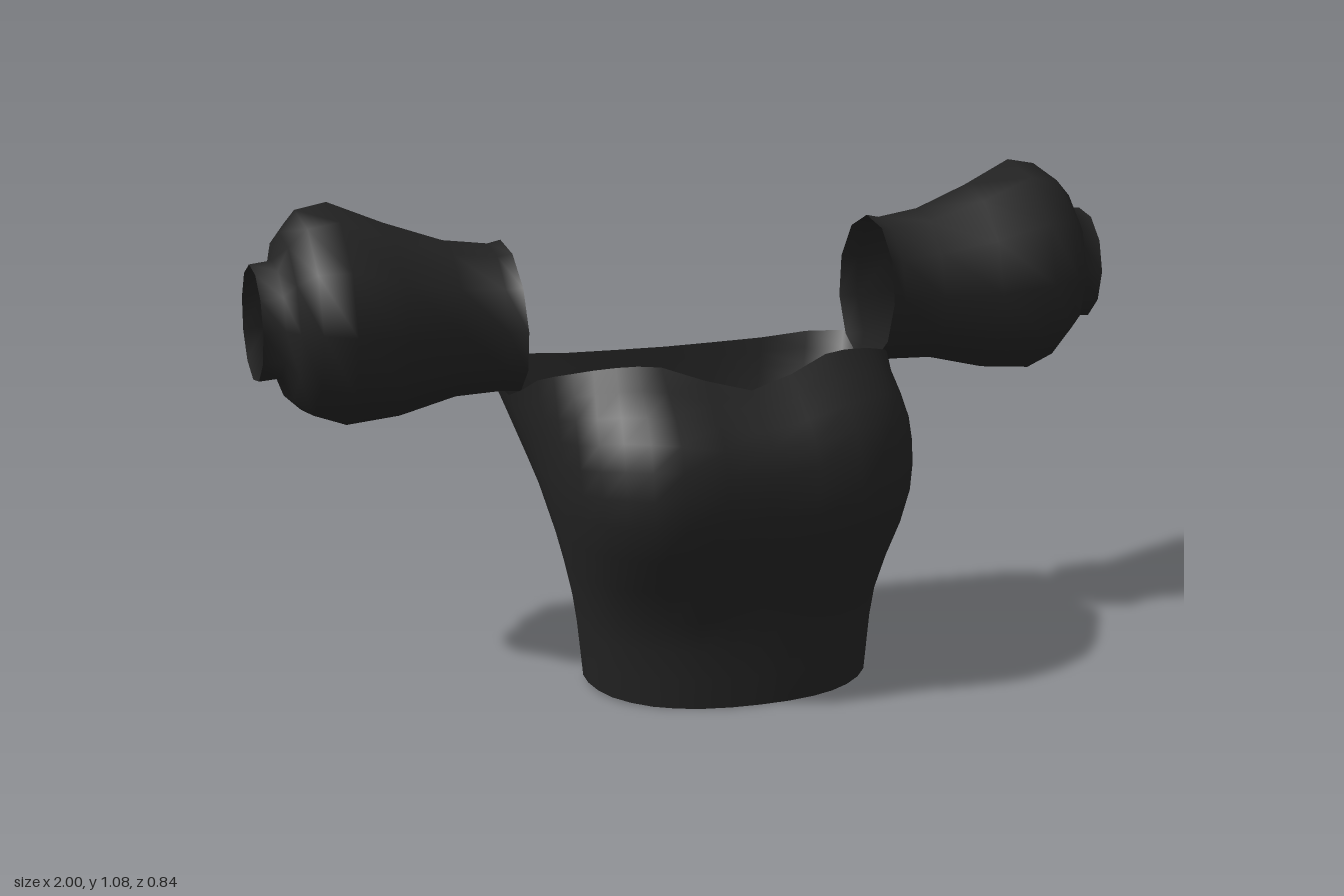
import * as THREE from 'three';

// Skin a list of closed rings (arrays of Vector3) with smooth normals
function loft(rings, material, name) {
  const n = rings[0].length, positions = [], index = [];
  for (const ring of rings) for (const p of ring) positions.push(p.x, p.y, p.z);
  for (let r = 0; r < rings.length - 1; r++) {
    for (let i = 0; i < n; i++) {
      const a = r * n + i, b = r * n + (i + 1) % n;
      index.push(a, b, b + n, a, b + n, a + n);
    }
  }
  const geometry = new THREE.BufferGeometry();
  geometry.setAttribute('position', new THREE.Float32BufferAttribute(positions, 3));
  geometry.setIndex(index);
  geometry.computeVertexNormals();
  const mesh = new THREE.Mesh(geometry, material);
  mesh.name = name;
  return mesh;
}

// Bodice seams from hem to top edge, centre front round the left side to centre back
const seams = [
  [[0, 0, 0.34], [0, 0.2, 0.343], [0, 0.44, 0.41], [0, 0.59, 0.395], [0, 0.70, 0.275]],
  [[0.13, 0, 0.325], [0.14, 0.2, 0.335], [0.20, 0.44, 0.422], [0.20, 0.62, 0.39], [0.19, 0.755, 0.225]],
  [[0.23, 0, 0.275], [0.25, 0.2, 0.285], [0.31, 0.44, 0.365], [0.31, 0.62, 0.33], [0.28, 0.752, 0.185]],
  [[0.30, 0.005, 0.20], [0.32, 0.2, 0.21], [0.378, 0.44, 0.27], [0.385, 0.6, 0.24], [0.36, 0.73, 0.12]],
  [[0.325, 0.01, 0.10], [0.347, 0.2, 0.09], [0.395, 0.44, 0.08], [0.407, 0.58, 0.075], [0.415, 0.70, 0.035]],
  [[0.305, 0.01, 0], [0.325, 0.2, -0.01], [0.39, 0.44, -0.05], [0.42, 0.55, -0.065], [0.443, 0.637, -0.10]],
  [[0.24, 0.01, -0.075], [0.26, 0.2, -0.11], [0.35, 0.44, -0.18], [0.40, 0.57, -0.225], [0.435, 0.68, -0.285]],
  [[0.13, 0.01, -0.115], [0.14, 0.2, -0.155], [0.19, 0.44, -0.25], [0.22, 0.57, -0.288], [0.24, 0.67, -0.315]],
  [[0, 0.01, -0.125], [0, 0.2, -0.167], [0, 0.44, -0.26], [0, 0.57, -0.298], [0, 0.665, -0.32]],
];

function makeBodice(material) {
  const left = seams.map(s => new THREE.CatmullRomCurve3(s.map(p => new THREE.Vector3(...p))));
  const rings = [], rows = 12, sides = 32;
  for (let r = 0; r <= rows; r++) {
    const half = left.map(c => c.getPoint(r / rows));
    const mirrored = half.slice(1, -1).reverse().map(p => new THREE.Vector3(-p.x, p.y, p.z));
    const loop = new THREE.CatmullRomCurve3([...half, ...mirrored], true);
    rings.push(Array.from({ length: sides }, (_, i) => loop.getPoint(i / sides)));
  }
  return loft(rings, material, 'bodice');
}

// Sleeve rings from shoulder to cuff: x, centre y, centre z, radius y, radius z
const sleeveRings = [
  [0.432, 0.81, -0.135, 0.172, 0.172],
  [0.47, 0.807, -0.14, 0.168, 0.153],
  [0.57, 0.81, -0.15, 0.177, 0.162],
  [0.70, 0.815, -0.163, 0.217, 0.21],
  [0.82, 0.833, -0.18, 0.249, 0.25],
  [0.89, 0.838, -0.19, 0.229, 0.237],
  [0.93, 0.835, -0.185, 0.187, 0.187],
  [0.95, 0.83, -0.18, 0.132, 0.12],
  [1.0, 0.826, -0.178, 0.131, 0.117],
];

function makeSleeve(side, material) {
  const n = 11;
  const rings = sleeveRings.map(([x, cy, cz, ry, rz], r) =>
    Array.from({ length: n }, (_, i) => {
      const a = -side * i / n * Math.PI * 2;
      // the shoulder opening leans slightly inward at the underarm
      const lean = r === 0 ? 0.008 * Math.sin(a) : 0;
      return new THREE.Vector3(side * (x + lean), cy + ry * Math.sin(a), cz + rz * Math.cos(a));
    }));
  return loft(rings, material, side > 0 ? 'leftSleeve' : 'rightSleeve');
}

export function createModel() {
  const fabric = new THREE.MeshStandardMaterial({ color: 0x222222, side: THREE.DoubleSide });
  fabric.name = 'black fabric';
  const model = new THREE.Group();
  model.name = 'puffSleeveTop';
  model.add(makeBodice(fabric), makeSleeve(1, fabric), makeSleeve(-1, fabric));
  return model;
}
